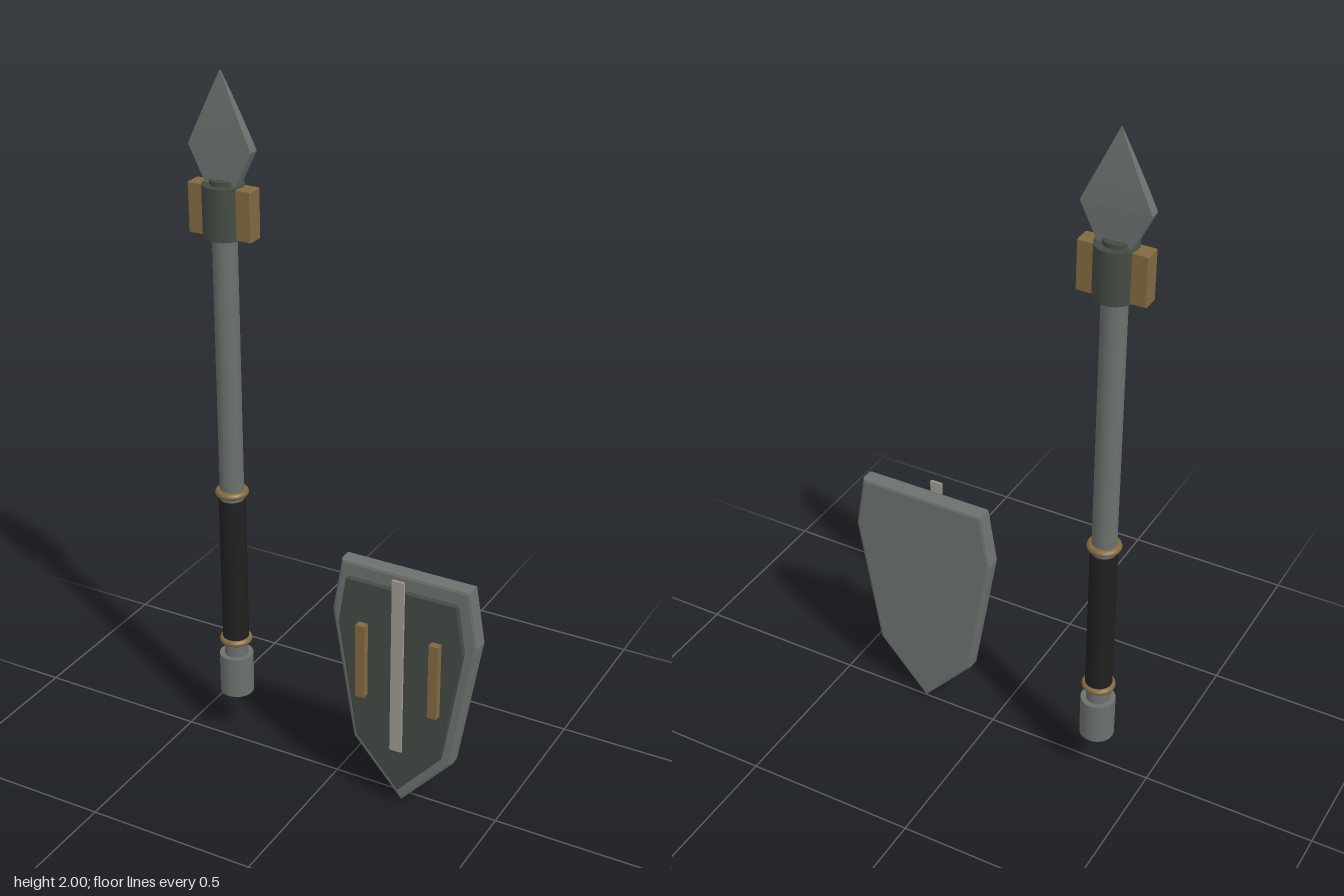
import * as THREE from 'three';
import { RoundedBoxGeometry } from 'three/addons/geometries/RoundedBoxGeometry.js';

const mat = (name, color) => {
  const m = new THREE.MeshStandardMaterial({ color });
  m.name = name;
  return m;
};

function createModel() {
  const steel = mat('steel', 0x6b716e);
  const darkSteel = mat('dark steel', 0x444a44);
  const bronze = mat('bronze', 0x82693f);
  const leather = mat('black leather', 0x202020);
  const silver = mat('pale silver', 0x9f9991);

  const model = new THREE.Group();
  const add = (parent, name, geometry, material, x = 0, y = 0, z = 0) => {
    const mesh = new THREE.Mesh(geometry, material);
    mesh.name = name;
    mesh.position.set(x, y, z);
    parent.add(mesh);
    return mesh;
  };

  // ---- Spear, built around its own vertical axis ----
  const spear = new THREE.Group();
  spear.name = 'spear';
  spear.position.set(-0.354, 0, -0.035);
  model.add(spear);

  const rod = (name, radius, y0, y1, material) =>
    add(spear, name, new THREE.CylinderGeometry(radius, radius, y1 - y0, 32), material, 0, (y0 + y1) / 2);

  rod('shaft', 0.034, 0.26, 1.6, steel);
  rod('grip', 0.038, 0.335, 0.785, leather);
  rod('pommel', 0.049, 0.15, 0.277, steel);
  rod('collar', 0.057, 1.56, 1.703, darkSteel);
  rod('bladeSocket', 0.036, 1.69, 1.715, darkSteel);

  // Bronze rings at both ends of the grip
  for (const y of [0.326, 0.806]) {
    const ring = add(spear, 'gripRing', new THREE.TorusGeometry(0.037, 0.0105, 10, 32), bronze, 0, y);
    ring.rotation.x = Math.PI / 2;
  }

  // Side lugs on the collar
  for (const s of [-1, 1]) {
    add(spear, 'collarLug', new RoundedBoxGeometry(0.05, 0.14, 0.05, 1, 0.004), bronze, s * 0.07, 1.631, 0);
  }

  // Kite-shaped blade: cross-sections of half width and half thickness
  const sections = [
    [1.69, 0.04, 0.014], [1.8, 0.094, 0.015], [1.85, 0.071, 0.0135],
    [1.9, 0.047, 0.011], [1.95, 0.024, 0.007], [2.0, 0.001, 0.001],
  ];
  const box = new THREE.BoxGeometry(2, sections.length - 1, 2, 1, sections.length - 1, 1);
  const p = box.attributes.position;
  for (let i = 0; i < p.count; i++) {
    const [y, w, t] = sections[Math.round(p.getY(i) + (sections.length - 1) / 2)];
    p.setXYZ(i, p.getX(i) * w, y, p.getZ(i) * t);
  }
  const blade = box.toNonIndexed();
  blade.computeVertexNormals();
  add(spear, 'blade', blade, steel);

  // ---- Shield ----
  const shield = new THREE.Group();
  shield.name = 'shield';
  shield.position.x = 0.2265;
  model.add(shield);

  // Mirrored heater outline from half-profile points, ending in the bottom tip
  const plate = (name, half, tipY, z0, z1, bevel, material) => {
    const right = half.map(([x, y]) => new THREE.Vector2(x, y));
    const left = half.map(([x, y]) => new THREE.Vector2(-x, y)).reverse();
    const shape = new THREE.Shape([...left, ...right, new THREE.Vector2(0, tipY)]);
    const geometry = new THREE.ExtrudeGeometry(shape, {
      depth: z1 - z0 - 2 * bevel, bevelEnabled: true, bevelSegments: 2,
      bevelSize: bevel, bevelThickness: bevel, bevelOffset: -bevel,
    });
    add(shield, name, geometry, material, 0, 0, z0 + bevel);
  };
  plate('shieldBody', [[0.192, 0.735], [0.2195, 0.57], [0.152, 0.173]], 0.002, -0.006, 0.044, 0.01, steel);
  plate('shieldFacing', [[0.165, 0.696], [0.187, 0.553], [0.13, 0.2]], 0.052, 0.052, 0.067, 0.003, darkSteel);

  // Raised centre strip and the two side bars
  add(shield, 'centreStrip', new THREE.BoxGeometry(0.036, 0.54, 0.007), silver, 0, 0.466, 0.08);
  for (const s of [-1, 1]) {
    add(shield, 'sideBar', new THREE.BoxGeometry(0.028, 0.228, 0.021), bronze, s * 0.11, 0.456, 0.0775);
  }

  return model;
}

export { createModel };
